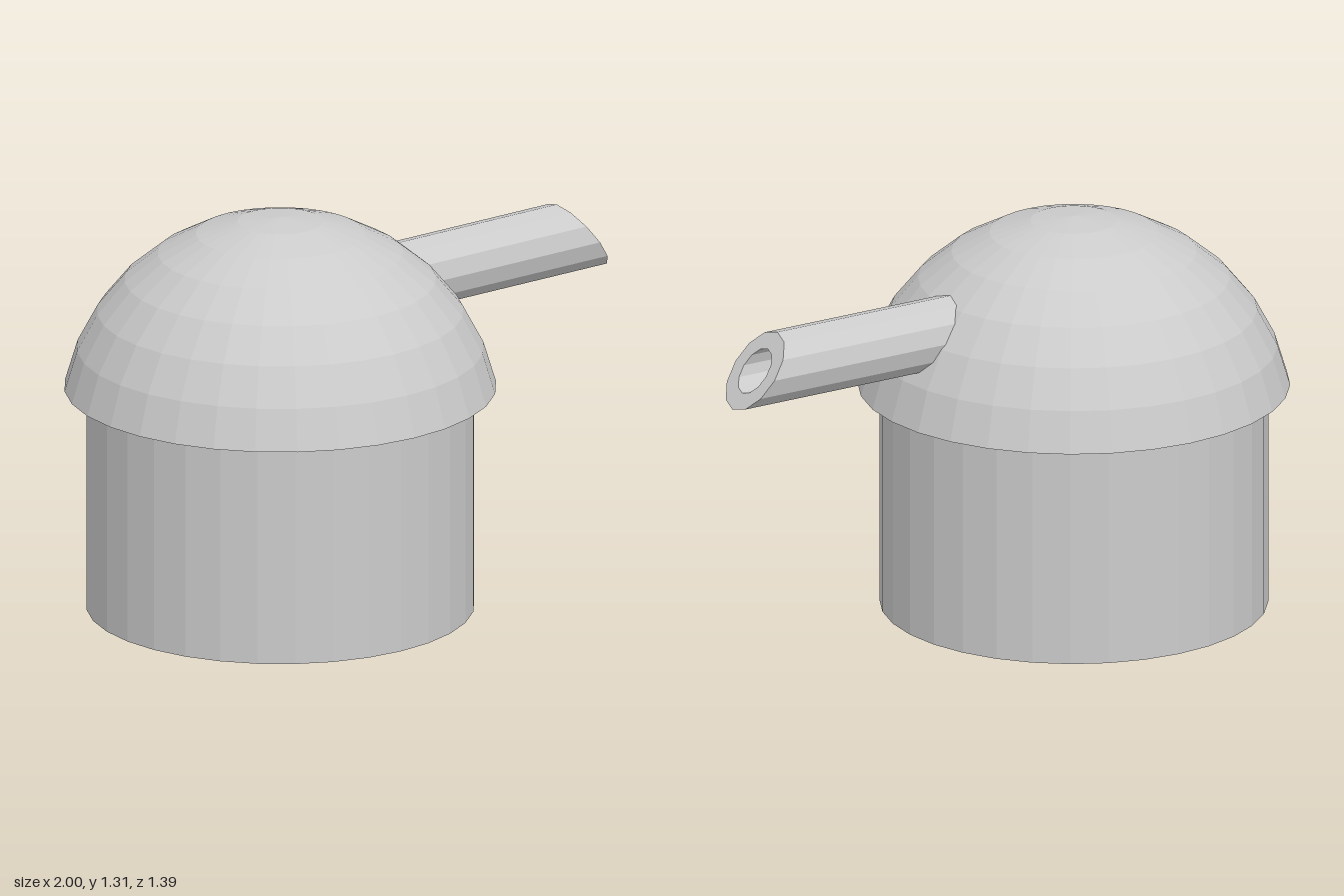
import * as THREE from 'three';

const AXIS_X = -0.304; // shared vertical axis of base and dome
const TUBE_Y = 1.009;

export function createModel() {
  const model = new THREE.Group();
  const material = new THREE.MeshStandardMaterial({ color: 0xcccccc, flatShading: true });
  const thin = material.clone();
  thin.side = THREE.DoubleSide;

  const add = (name, geometry, mat, x, y) => {
    const mesh = new THREE.Mesh(geometry, mat);
    mesh.name = name;
    mesh.position.set(x, y, 0);
    model.add(mesh);
  };

  // Round base, running up inside the dome
  add('base', new THREE.CylinderGeometry(0.625, 0.625, 0.9, 32), material, AXIS_X, 0.45);

  // Open dome: the upper seven of sixteen sphere rings
  const dome = new THREE.SphereGeometry(0.709, 32, 7, 0, Math.PI * 2, 0, Math.PI * 7 / 16);
  add('dome', dome, thin, AXIS_X, 0.599);

  // Twelve-sided hollow tube
  const polygon = (r) => Array.from({ length: 12 }, (_, i) =>
    new THREE.Vector2(r * Math.cos(i * Math.PI / 6), r * Math.sin(i * Math.PI / 6)));
  const ring = new THREE.Shape(polygon(0.116));
  ring.holes.push(new THREE.Path(polygon(0.066)));
  const tube = new THREE.ExtrudeGeometry(ring, { depth: 1, bevelEnabled: false, steps: 1 });
  tube.rotateY(Math.PI / 2);

  // Slant the outer end so that the underside reaches furthest
  const p = tube.attributes.position;
  for (let i = 0; i < p.count; i++) {
    p.setX(i, p.getX(i) > 0.5 ? 0.914 - p.getY(i) * 0.74 : 0.1);
  }
  tube.computeVertexNormals();
  add('tube', tube, material, 0, TUBE_Y);

  // Floor of the tube's bore
  const floor = new THREE.CircleGeometry(0.066, 12);
  floor.rotateY(Math.PI / 2);
  add('tubeFloor', floor, thin, 0.33, TUBE_Y);

  return model;
}
